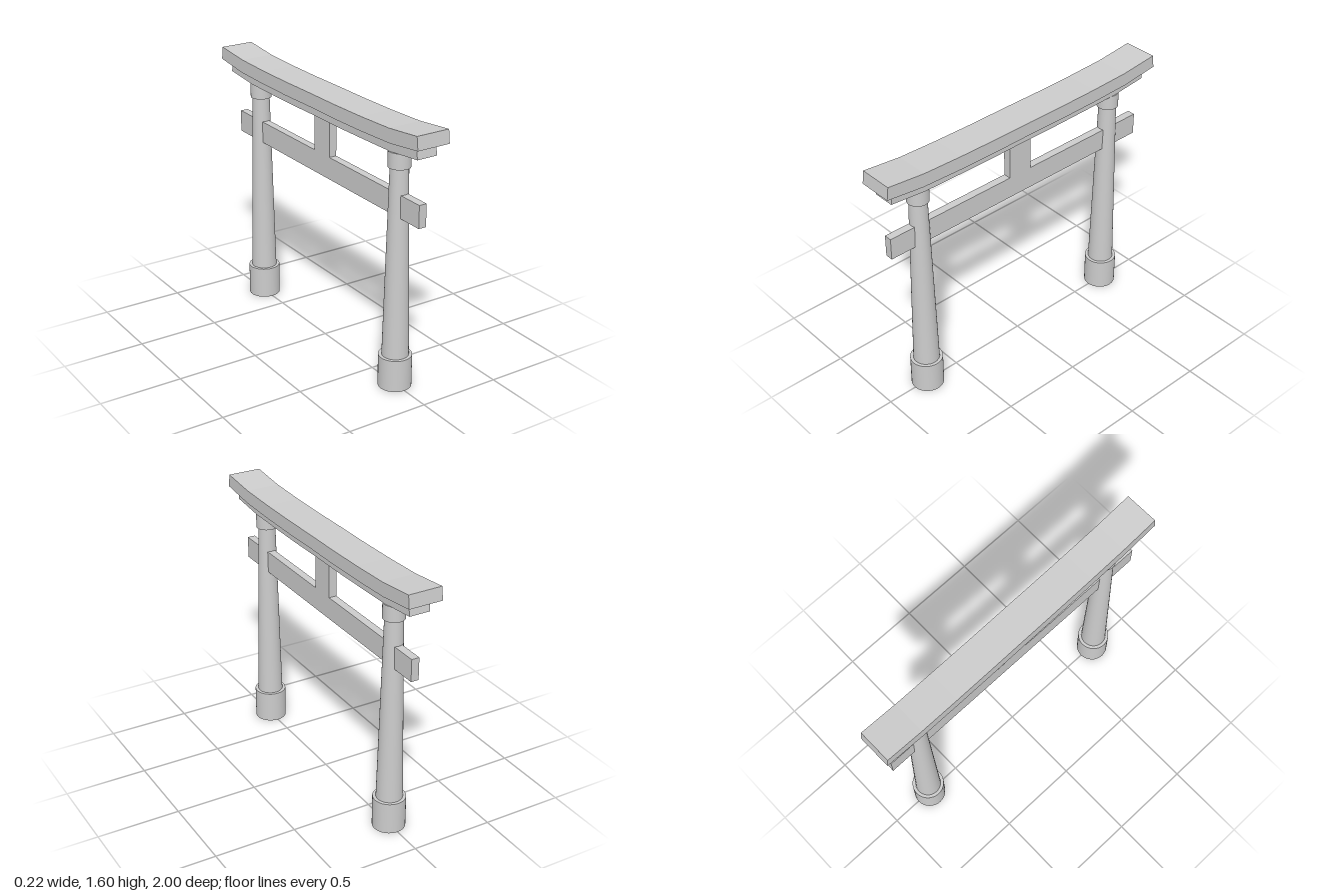
import * as THREE from 'three';

const material = new THREE.MeshStandardMaterial({ color: 0xcccccc });

function add(group, name, geometry, x = 0, y = 0, z = 0) {
  const mesh = new THREE.Mesh(geometry, material);
  mesh.name = name;
  mesh.position.set(x, y, z);
  group.add(mesh);
  return mesh;
}

// Upswept beam along z: top and bottom edges are [z, y] points from the middle to one end
function sweptBeam(top, bottom, width) {
  const mirrored = (half) => [...half.slice(1).reverse().map(([z, y]) => [-z, y]), ...half];
  const outline = [...mirrored(bottom), ...mirrored(top).reverse()];
  const shape = new THREE.Shape(outline.map(([z, y]) => new THREE.Vector2(z, y)));
  return new THREE.ExtrudeGeometry(shape, { depth: width, bevelEnabled: false, steps: 1 })
    .translate(0, 0, -width / 2)
    .rotateY(-Math.PI / 2);
}

export function createModel() {
  const gate = new THREE.Group();
  gate.name = 'gate';

  // Pillars with footing and collar
  for (const side of [1, -1]) {
    const pillar = new THREE.Group();
    pillar.name = side > 0 ? 'frontPillar' : 'backPillar';
    pillar.position.z = side * 0.72;
    add(pillar, 'footing', new THREE.CylinderGeometry(0.097, 0.097, 0.197, 32), 0, 0.0985);
    add(pillar, 'shaft', new THREE.CylinderGeometry(0.052, 0.078, 1.16, 32), 0, 0.77);
    add(pillar, 'collar', new THREE.CylinderGeometry(0.064, 0.064, 0.093, 32), 0, 1.3785);
    gate.add(pillar);
  }

  // Tie beam passing through the pillars, and the centre strut above it
  add(gate, 'tieBeam', new THREE.BoxGeometry(0.048, 0.135, 1.87), 0, 1.1175);
  add(gate, 'centreStrut', new THREE.BoxGeometry(0.048, 0.24, 0.157), 0, 1.305);

  // Curved double lintel, turned very slightly
  const lintel = new THREE.Group();
  lintel.name = 'lintel';
  lintel.rotation.y = 0.0085;
  add(lintel, 'lowerLintel', sweptBeam(
    [[0, 1.483], [0.24, 1.481], [0.48, 1.484], [0.71, 1.49], [0.938, 1.513]],
    [[0, 1.42], [0.24, 1.418], [0.48, 1.421], [0.71, 1.425], [0.948, 1.449]], 0.128));
  add(lintel, 'upperLintel', sweptBeam(
    [[0, 1.565], [0.25, 1.564], [0.5, 1.567], [0.75, 1.575], [0.99, 1.6]],
    [[0, 1.483], [0.25, 1.481], [0.5, 1.484], [0.76, 1.493], [1, 1.522]], 0.207));
  gate.add(lintel);

  return gate;
}
